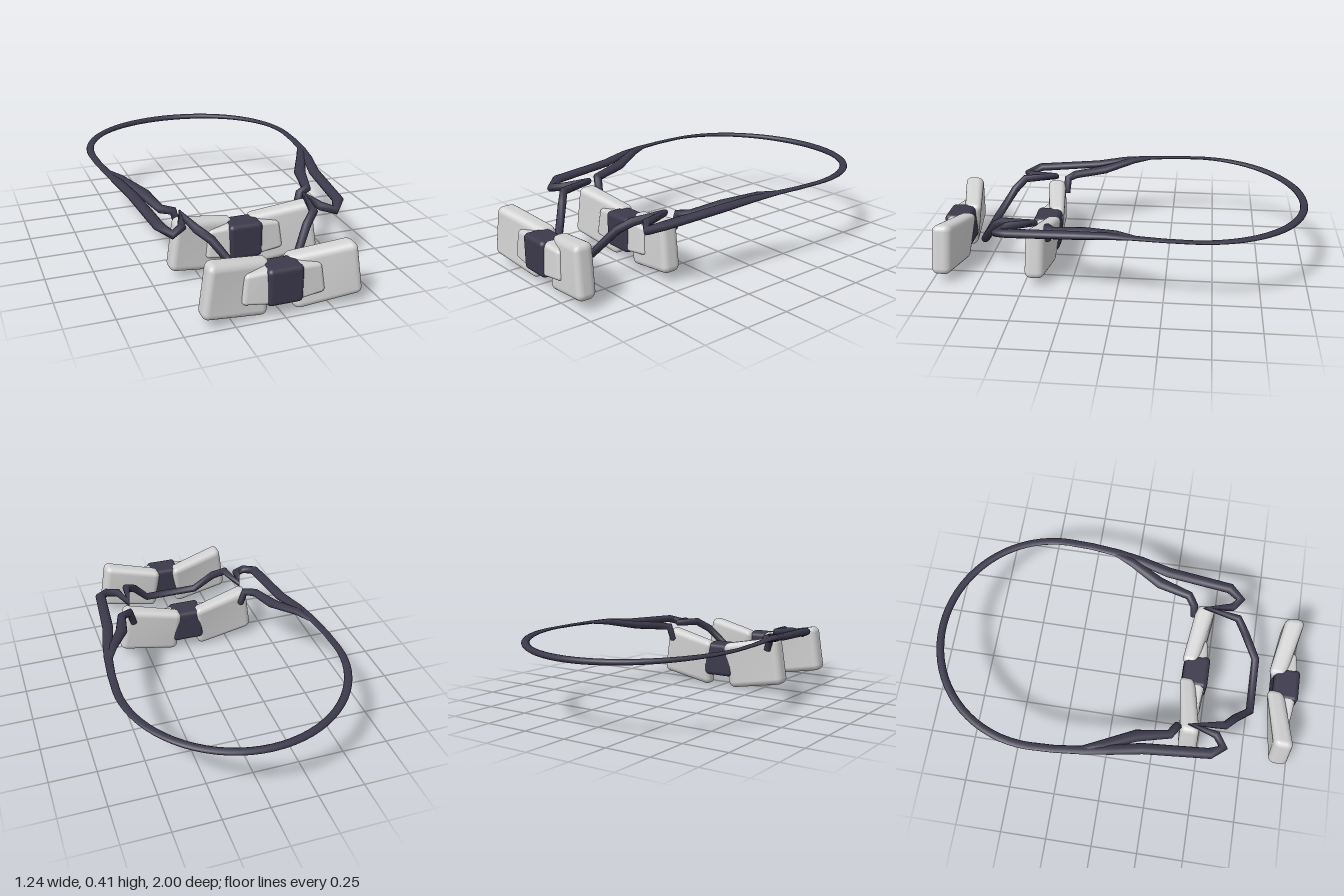
import * as THREE from 'three';
import { mergeVertices } from 'three/addons/utils/BufferGeometryUtils.js';
import { RoundedBoxGeometry } from 'three/addons/geometries/RoundedBoxGeometry.js';

const darkFabric = new THREE.MeshStandardMaterial({ color: 0x3b394b });
darkFabric.name = 'darkFabric';
const paleFabric = new THREE.MeshStandardMaterial({ color: 0xd2d2d2 });
paleFabric.name = 'paleFabric';

function mesh(name, geometry, material) {
  const m = new THREE.Mesh(geometry, material);
  m.name = name;
  return m;
}

// Rounded block bent to four corners, each [x, y, zBack, zFront]; side -1 mirrors it.
function block([innerTop, outerTop, innerBottom, outerBottom], size, radius, side) {
  let g = new RoundedBoxGeometry(...size, 4, radius);
  g.deleteAttribute('normal');
  g.deleteAttribute('uv');
  g = mergeVertices(g, 1e-5);
  const p = g.attributes.position;
  const mix = THREE.MathUtils.lerp;
  for (let i = 0; i < p.count; i++) {
    const u = 0.5 + side * p.getX(i) / size[0];
    const v = 0.5 + p.getY(i) / size[1];
    const w = 0.5 + p.getZ(i) / size[2];
    const [x, y, back, front] = innerTop.map((_, k) =>
      mix(mix(innerBottom[k], outerBottom[k], u), mix(innerTop[k], outerTop[k], u), v));
    p.setXYZ(i, side * x, y, mix(back, front, w));
  }
  g.computeVertexNormals();
  return g;
}

// Sweeps an elliptical section along points [x, y, z, width, height].
function sweep(points, closed, sides = 12) {
  const n = points.length;
  const at = points.map((q) => new THREE.Vector3(q[0], q[1], q[2]));
  const up = new THREE.Vector3(0, 1, 0);
  const pos = [], index = [];
  for (let i = 0; i < n; i++) {
    const prev = closed ? (i + n - 1) % n : Math.max(i - 1, 0);
    const next = closed ? (i + 1) % n : Math.min(i + 1, n - 1);
    const t = at[i].clone().sub(at[prev]).normalize()
      .add(at[next].clone().sub(at[i]).normalize()).normalize();
    const across = up.clone().cross(t).normalize();
    const over = t.clone().cross(across);
    for (let j = 0; j < sides; j++) {
      const a = (j / sides) * Math.PI * 2;
      const v = at[i].clone()
        .addScaledVector(across, Math.cos(a) * points[i][3] / 2)
        .addScaledVector(over, Math.sin(a) * points[i][4] / 2);
      pos.push(v.x, v.y, v.z);
    }
  }
  for (let i = 0; i < (closed ? n : n - 1); i++) {
    for (let j = 0; j < sides; j++) {
      const k = (j + 1) % sides, m = (i + 1) % n;
      const a = i * sides + j, b = i * sides + k, c = m * sides + j, d = m * sides + k;
      index.push(a, b, c, b, d, c);
    }
  }
  const g = new THREE.BufferGeometry();
  g.setAttribute('position', new THREE.Float32BufferAttribute(pos, 3));
  g.setIndex(index);
  g.computeVertexNormals();
  return g;
}

// Bow: two wings, two raised folds and a knot; z values are relative to its front.
function bow(name, frontZ, wingDepths) {
  const group = new THREE.Group();
  group.name = name;
  const [it, ot, ib, ob] = wingDepths;
  const wing = [
    [0.04, 0.262, ...it], [0.37, 0.322, ...ot],
    [0.07, -0.006, ...ib], [0.41, 0.05, ...ob]];
  const fold = [
    [0.05, 0.255, -0.12, -0.012], [0.192, 0.235, -0.08, -0.03],
    [0.05, 0.068, -0.12, -0.005], [0.212, 0.088, -0.08, -0.018]];
  for (const side of [1, -1]) {
    const label = side > 0 ? 'left' : 'right';
    group.add(mesh(label + 'Wing', block(wing, [0.34, 0.27, 0.1], 0.035, side), paleFabric));
    group.add(mesh(label + 'Fold', block(fold, [0.15, 0.16, 0.07], 0.02, side), paleFabric));
  }
  const knot = mesh('knot', new RoundedBoxGeometry(0.184, 0.192, 0.142, 4, 0.025), darkFabric);
  knot.position.set(0, 0.16, -0.071);
  group.add(knot);
  group.position.z = frontZ;
  return group;
}

export function createModel() {
  const model = new THREE.Group();
  model.name = 'bowTieNecklace';

  model.add(bow('frontBow', 0.998,
    [[-0.18, -0.085], [-0.115, -0.008], [-0.13, -0.045], [-0.105, 0.002]]));
  model.add(bow('rearBow', 0.498,
    [[-0.16, -0.075], [-0.115, -0.01], [-0.12, -0.045], [-0.11, 0]]));

  // Neck band: round at the back, with a kinked strand running to the front.
  const half = [];
  const steps = 18;
  for (let i = 0; i <= steps; i++) {
    const a = (i / steps) * Math.PI / 2, c = Math.cos(a);
    half.push([0.597 * Math.sin(a), 0.397 - 0.02 * c * c, -0.385 - 0.592 * c,
      0.042, 0.012 + 0.02 * c]);
  }
  half.push(
    [0.592, 0.397, -0.25, 0.042, 0.014], [0.575, 0.396, -0.1, 0.046, 0.018],
    [0.548, 0.388, 0.04, 0.055, 0.032], [0.512, 0.368, 0.2, 0.06, 0.04],
    [0.478, 0.348, 0.55, 0.06, 0.045], [0.43, 0.325, 0.618, 0.05, 0.045],
    [0.37, 0.338, 0.575, 0.045, 0.045], [0.338, 0.347, 0.44, 0.045, 0.04],
    [0.31, 0.335, 0.615, 0.045, 0.045], [0.25, 0.29, 0.665, 0.045, 0.045],
    [0.155, 0.157, 0.753, 0.045, 0.042]);
  const mirrored = half.slice(1).reverse().map(([x, ...rest]) => [-x, ...rest]);
  model.add(mesh('neckBand', sweep([...half, ...mirrored], true), darkFabric));

  // Inner strands branch off and hang behind the rear bow.
  const strand = [
    [0.57, 0.396, -0.112, 0.001, 0.001], [0.568, 0.396, -0.11, 0.03, 0.015],
    [0.53, 0.392, -0.01, 0.05, 0.035], [0.445, 0.358, 0.16, 0.065, 0.045],
    [0.405, 0.335, 0.33, 0.05, 0.045], [0.35, 0.33, 0.365, 0.045, 0.045],
    [0.328, 0.25, 0.372, 0.04, 0.035], [0.326, 0.245, 0.373, 0.001, 0.001]];
  for (const side of [1, -1]) {
    model.add(mesh(side > 0 ? 'leftStrand' : 'rightStrand',
      sweep(strand.map(([x, ...rest]) => [side * x, ...rest]), false), darkFabric));
  }
  return model;
}
